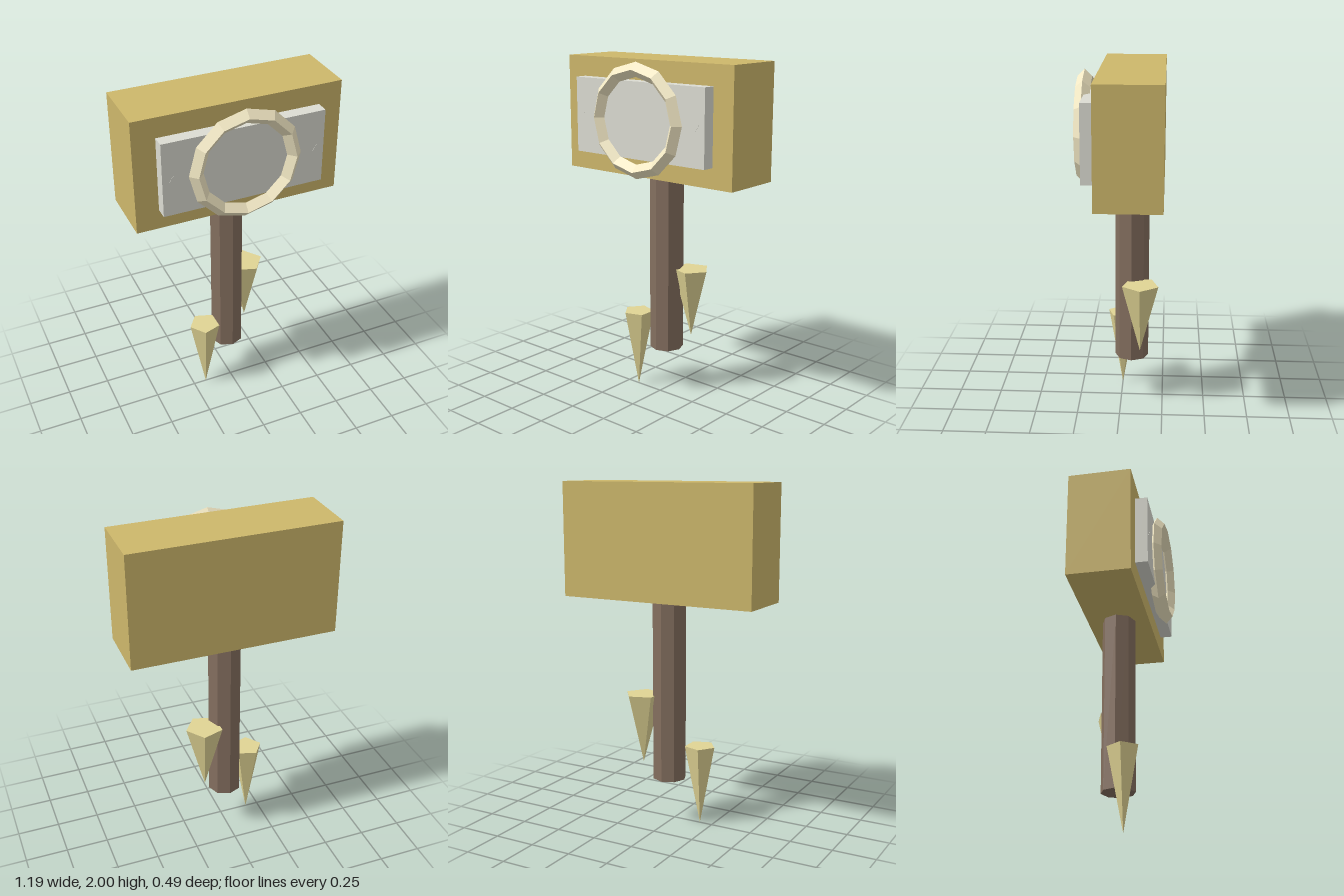
import * as THREE from 'three';

const paint = (color) => new THREE.MeshStandardMaterial({ color, flatShading: true });

export function createModel() {
  const group = new THREE.Group();
  const gold = paint(0xcdb76b);
  const cream = paint(0xf2e8c4);
  const silver = paint(0xdcdcd2);
  const wood = paint(0x846f5f);
  const straw = paint(0xe0d494);

  const add = (name, geometry, material, x, y, z) => {
    const mesh = new THREE.Mesh(geometry, material);
    mesh.name = name;
    mesh.position.set(x, y, z);
    group.add(mesh);
    return mesh;
  };

  // Block head with a raised plate on its front
  add('head', new THREE.BoxGeometry(1.19, 0.66, 0.365), gold, 0, 1.67, -0.0625);
  add('frontPlate', new THREE.BoxGeometry(0.93, 0.43, 0.075), silver, 0, 1.67, 0.155);

  // Small slanted nicks at both ends of the plate
  for (const side of [-1, 1]) {
    const nick = add('plateNick', new THREE.BoxGeometry(0.004, 0.045, 0.004), silver, side * 0.415, 1.67, 0.192);
    nick.rotation.z = -0.6;
  }

  // Twelve-sided ring with a diamond cross-section
  add('ring', new THREE.TorusGeometry(0.282, 0.041, 4, 12), cream, 0, 1.67, 0.203);

  // Eight-sided shaft
  add('handle', new THREE.CylinderGeometry(0.099, 0.099, 1.065, 8), wood, 0, 0.8075, -0.062);

  // Five-sided spikes pointing down beside the shaft
  const spike = (name, radius, top, tip, x, z, start) =>
    add(name, new THREE.CylinderGeometry(radius, 0, top - tip, 5, 1, false, start), straw, x, (top + tip) / 2, z);
  spike('lowerSpike', 0.092, 0.478, 0, -0.172, 0, -Math.PI / 2);
  spike('upperSpike', 0.11, 0.78, 0.365, 0.146, -0.115, Math.PI / 2);

  return group;
}
